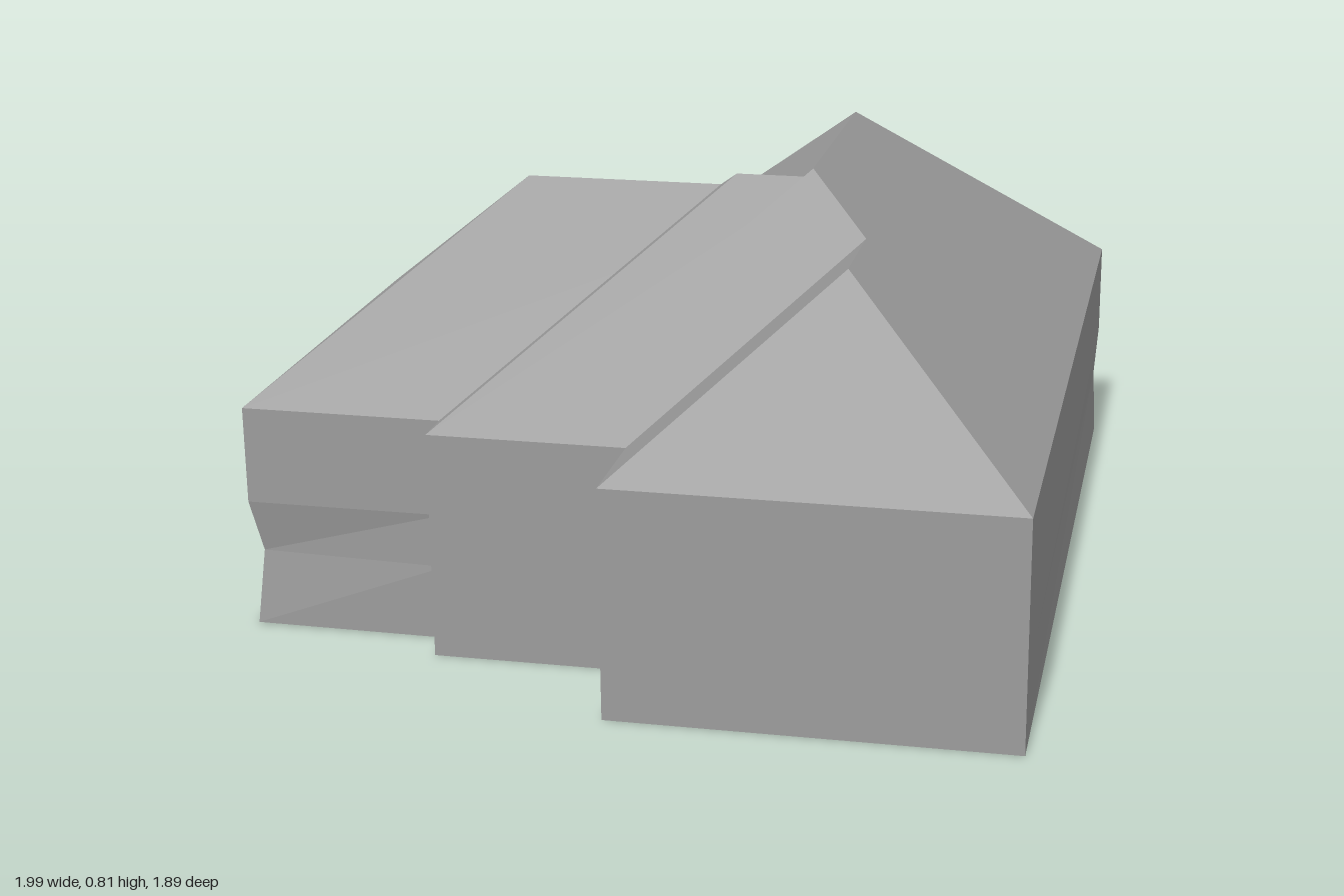
import * as THREE from 'three';

const EAVE = 0.42;   // wall height
const PITCH = 0.82;  // roof rise per unit of run

const stone = new THREE.MeshStandardMaterial({ color: 0x9c9c9c, flatShading: true });
stone.name = 'grey stone';

// Plan coordinates: u runs along the long wall, v runs back from it.
const FOOTPRINT = [
  [0, 0], [1.65, 0], [1.65, 0.955], [1.125, 0.955], [1.125, 1.45],
  [0.276, 1.45], [0.276, 1.08], [0.2, 1.08], [0.2, 0.72], [0, 0.72],
];

// Flat-sided mesh from a list of polygons, each a convex loop of points
function polyMesh(name, polygons) {
  const pos = [];
  for (const p of polygons) {
    for (let i = 1; i < p.length - 1; i++) pos.push(...p[0], ...p[i], ...p[i + 1]);
  }
  const geo = new THREE.BufferGeometry();
  geo.setAttribute('position', new THREE.Float32BufferAttribute(pos, 3));
  geo.computeVertexNormals();
  const mesh = new THREE.Mesh(geo, stone);
  mesh.name = name;
  return mesh;
}

// Hipped roof over a plan rectangle, all four slopes at the same pitch
function hipRoof(name, u0, u1, v0, v1) {
  const h = Math.min(u1 - u0, v1 - v0) / 2;
  const top = EAVE + h * PITCH;
  const a = [u0 + h, top, -(v0 + h)];
  const b = [u1 - h, top, -(v1 - h)];
  const alongU = u1 - u0 > v1 - v0;
  const corners = [[u0, EAVE, -v0], [u1, EAVE, -v0], [u1, EAVE, -v1], [u0, EAVE, -v1]];
  const ridge = alongU ? [a, b, b, a] : [a, a, b, b];
  return polyMesh(name, corners.map((c, i) => {
    const j = (i + 1) % 4;
    return ridge[i] === ridge[j]
      ? [c, corners[j], ridge[i]]
      : [c, corners[j], ridge[j], ridge[i]];
  }));
}

// Walls lofted through a few heights, with two worn vertical corners
function walls() {
  const levels = [
    { y: 0, wear: 0.004 }, { y: 0.14, wear: 0.018 },
    { y: 0.24, wear: 0 }, { y: EAVE, wear: 0 },
  ];
  const rings = levels.map(({ y, wear }) => FOOTPRINT.map(([u, v], i) => {
    if (i === 5) return [u + wear, y, -(v - wear)];
    if (i === 1) return [u - wear * 0.4, y, -(v + wear * 0.4)];
    return [u, y, -v];
  }));
  const quads = [];
  for (let k = 0; k < rings.length - 1; k++) {
    for (let i = 0; i < FOOTPRINT.length; i++) {
      const j = (i + 1) % FOOTPRINT.length;
      quads.push([rings[k][i], rings[k][j], rings[k + 1][j], rings[k + 1][i]]);
    }
  }
  return polyMesh('walls', quads);
}

// Flat underside
function base() {
  const shape = new THREE.Shape(FOOTPRINT.map(([u, v]) => new THREE.Vector2(u, -v)));
  const mesh = new THREE.Mesh(new THREE.ShapeGeometry(shape).rotateX(Math.PI / 2), stone);
  mesh.name = 'base';
  return mesh;
}

export function createModel() {
  const house = new THREE.Group();
  house.name = 'house';
  house.add(
    walls(),
    base(),
    hipRoof('mainRoof', 0.2, 1.65, 0, 0.955),
    hipRoof('lowEndRoof', 0, 1.4, 0, 0.72),
    hipRoof('crossRoof', 0.2, 1.125, 0, 1.08),
    hipRoof('backWingRoof', 0.276, 1.125, 0, 1.45),
  );
  // The house stands turned on its plot
  house.rotation.y = Math.atan2(0.784, 0.62);
  house.position.set(-0.03, 0, 0.935);

  const model = new THREE.Group();
  model.name = 'hippedHouse';
  model.add(house);
  return model;
}
